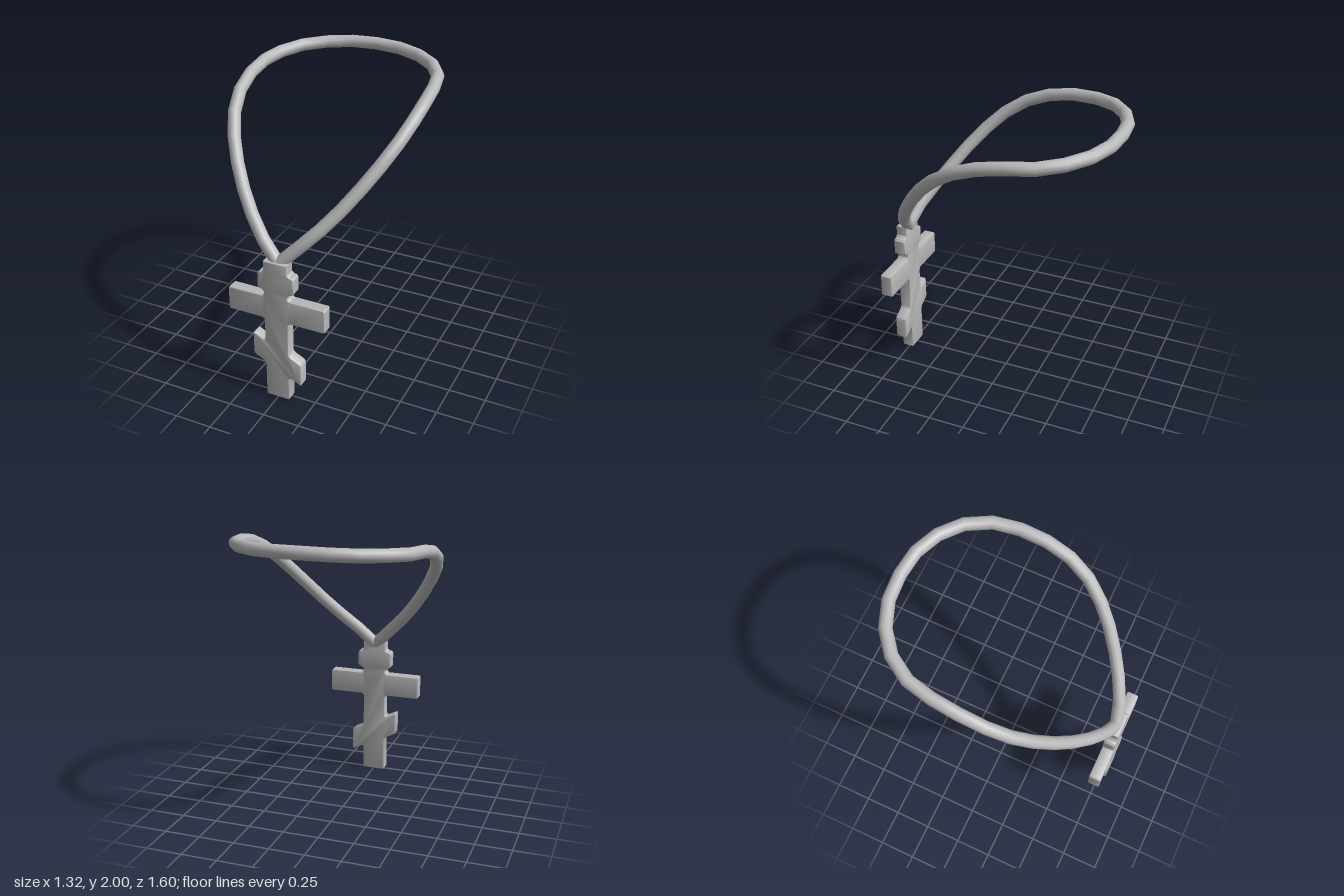
import * as THREE from 'three';
import { toCreasedNormals } from 'three/addons/utils/BufferGeometryUtils.js';

export function createModel() {
  const group = new THREE.Group();
  const metal = new THREE.MeshStandardMaterial({ color: 0xb8b8b8, side: THREE.DoubleSide });
  metal.name = 'grey metal';

  // Cord: one side from the pendant to the nape, mirrored for the other side
  const side = [
    [0, 1.0, 0.745], [0.145, 1.145, 0.695], [0.27, 1.275, 0.61], [0.38, 1.415, 0.515],
    [0.475, 1.555, 0.405], [0.555, 1.69, 0.275], [0.6, 1.795, 0.13], [0.615, 1.865, -0.03],
    [0.61, 1.905, -0.2], [0.58, 1.92, -0.39], [0.5, 1.935, -0.54], [0.4, 1.942, -0.64],
    [0.275, 1.95, -0.71], [0.14, 1.955, -0.75],
  ].map(p => new THREE.Vector3(...p));
  const mirrored = side.map(p => new THREE.Vector3(-p.x, p.y, p.z)).reverse();
  const path = new THREE.CatmullRomCurve3([...side, new THREE.Vector3(0, 1.957, -0.758), ...mirrored]);
  const cord = new THREE.Mesh(new THREE.TubeGeometry(path, 28, 0.043, 12, false), metal);
  cord.name = 'cord';
  group.add(cord);

  // Cross outline: upper arms on the right side, from the top down
  const upper = [
    [0.083, 1.025], [0.083, 0.96], [0.097, 0.945], [0.113, 0.944], [0.126, 0.93],
    [0.126, 0.835], [0.112, 0.819], [0.097, 0.817], [0.083, 0.803], [0.083, 0.784],
    [0.097, 0.77], [0.332, 0.77], [0.34, 0.762], [0.34, 0.613], [0.332, 0.605],
    [0.097, 0.605], [0.083, 0.59],
  ];
  // Slanted lower arm on the right; the left one is the same turned half round
  const lower = [
    [0.083, 0.36], [0.095, 0.343], [0.16, 0.311], [0.17, 0.297], [0.17, 0.147],
    [0.162, 0.145], [0.1, 0.176], [0.088, 0.174], [0.083, 0.163],
  ];
  const turned = lower.map(([x, y]) => [-x, 0.61 - y]);
  const outline = [
    ...upper, ...lower, [0.083, 0.008], [0.075, 0], [-0.075, 0], [-0.083, 0.008],
    ...turned, ...upper.map(([x, y]) => [-x, y]).reverse(),
  ].map(p => new THREE.Vector2(...p)).reverse();

  const bevel = 0.008;
  const depth = 0.082;
  const plate = new THREE.ExtrudeGeometry(new THREE.Shape(outline), {
    depth: depth - 2 * bevel, bevelEnabled: true, bevelThickness: bevel,
    bevelSize: bevel, bevelOffset: -bevel, bevelSegments: 2,
  });
  plate.translate(0, 0, bevel - depth / 2);
  const cross = new THREE.Mesh(toCreasedNormals(plate, 0.7), metal);
  cross.name = 'crossPendant';
  cross.position.z = 0.76;
  cross.rotation.x = -0.005;
  group.add(cross);

  return group;
}
